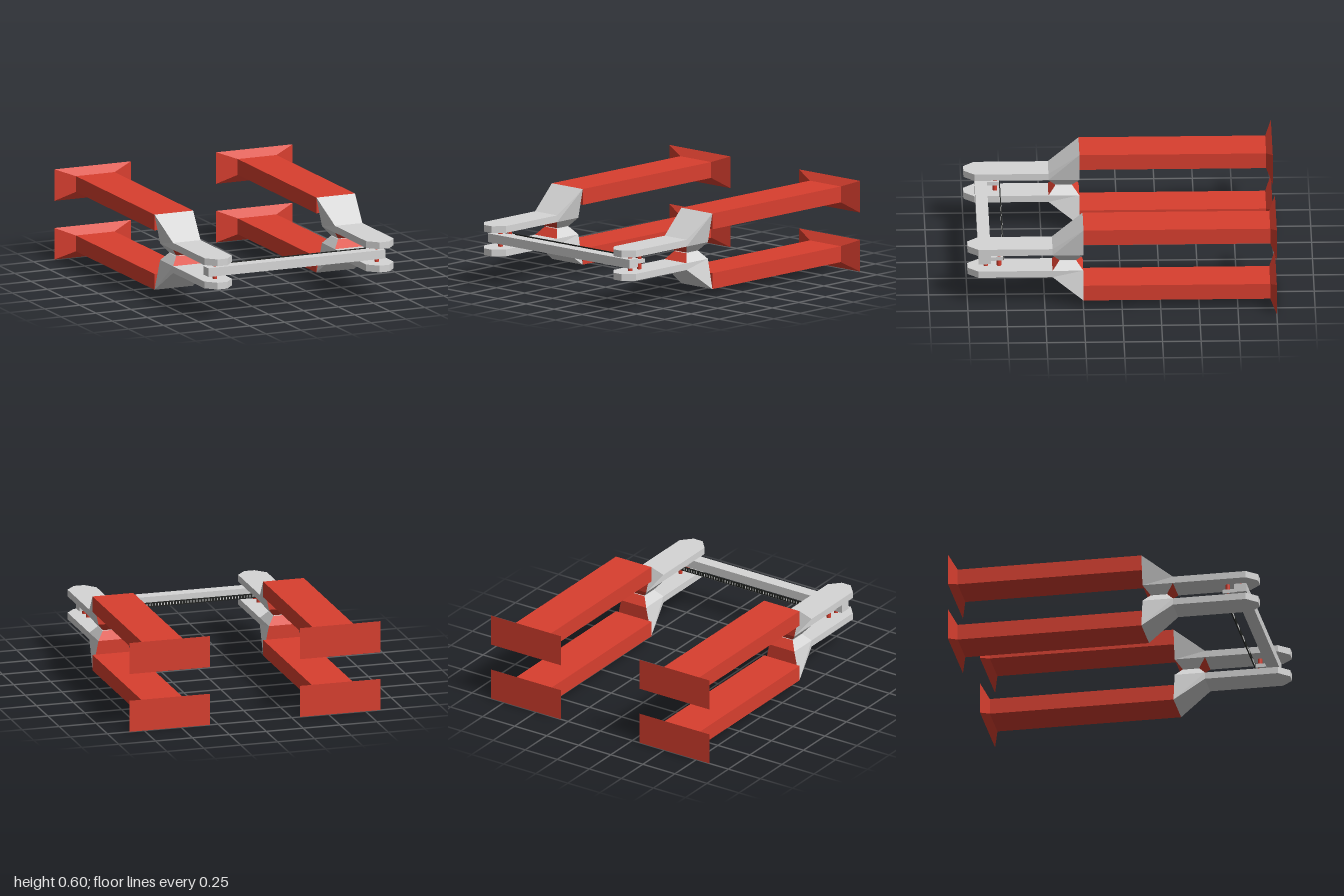
import * as THREE from 'three';

const red = new THREE.MeshStandardMaterial({ color: 0xd93f2f, name: 'red grip' });
const grey = new THREE.MeshStandardMaterial({ color: 0xd6d6d6, name: 'light metal' });
const dark = new THREE.MeshStandardMaterial({ color: 0x222422, name: 'dark strip' });

const MID_Y = 0.3;     // plane between upper and lower jaws
const CLAMP_X = 0.578; // clamp centre line

function add(parent, name, geometry, material, x = 0, y = 0, z = 0) {
  const mesh = new THREE.Mesh(geometry, material);
  mesh.name = name;
  mesh.position.set(x, y, z);
  parent.add(mesh);
  return mesh;
}

// Six-sided solid symmetric in x; each edge is [half width, y, z].
// Material groups: 0 = sides, top and bottom, 1 = front and back.
function block(bottomBack, bottomFront, topBack, topFront) {
  const pair = ([w, y, z]) => [[-w, y, z], [w, y, z]];
  const [lbb, rbb] = pair(bottomBack), [lbf, rbf] = pair(bottomFront);
  const [ltb, rtb] = pair(topBack), [ltf, rtf] = pair(topFront);
  const faces = [
    [ltf, rtf, rtb, ltb], [lbb, rbb, rbf, lbf],
    [rbf, rbb, rtb, rtf], [lbb, lbf, ltf, ltb],
    [lbf, rbf, rtf, ltf], [rbb, lbb, ltb, rtb],
  ];
  const points = [];
  for (const [a, b, c, d] of faces) points.push(...a, ...b, ...c, ...a, ...c, ...d);
  const geometry = new THREE.BufferGeometry();
  geometry.setAttribute('position', new THREE.Float32BufferAttribute(points, 3));
  geometry.computeVertexNormals();
  geometry.addGroup(0, 24, 0);
  geometry.addGroup(24, 12, 1);
  return geometry;
}

// One jaw with its handle, above y = 0 in its own frame
function createJaw() {
  const jaw = new THREE.Group();
  add(jaw, 'handle', block(
    [0.138, 0.145, -0.96], [0.138, 0.145, 0.25],
    [0.138, 0.25, -0.96], [0.138, 0.25, 0.25]), [red, red]);
  add(jaw, 'handleFlare', block(
    [0.273, 0.09, -1], [0.138, 0.145, -0.96],
    [0.273, 0.3, -1], [0.138, 0.25, -0.96]), [red, red]);
  // Sloped shoulder with a red rear face
  add(jaw, 'shoulder', block(
    [0.098, 0.055, 0.25], [0.098, 0.055, 0.45],
    [0.138, 0.25, 0.25], [0.098, 0.1, 0.45]), [grey, red]);
  // Rocker hump towards the opposite jaw
  add(jaw, 'pivotHump', block(
    [0.055, 0.002, 0.295], [0.055, 0.002, 0.405],
    [0.098, 0.055, 0.25], [0.098, 0.055, 0.45]), [grey, red]);
  // Flat jaw with clipped tip
  const outline = new THREE.Shape([
    [-0.098, 0.45], [0.098, 0.45], [0.098, 0.93],
    [0.035, 1], [-0.035, 1], [-0.098, 0.93],
  ].map(([x, z]) => new THREE.Vector2(x, z)));
  const plate = new THREE.ExtrudeGeometry(outline, { depth: 0.045, bevelEnabled: false });
  plate.rotateX(Math.PI / 2);
  add(jaw, 'jawPlate', plate, grey, 0, 0.1, 0);
  return jaw;
}

export function createModel() {
  const model = new THREE.Group();
  model.name = 'doubleClamp';

  for (const side of [-1, 1]) {
    const clamp = new THREE.Group();
    clamp.name = side > 0 ? 'leftClamp' : 'rightClamp';
    clamp.position.set(side * CLAMP_X, MID_Y, 0);
    const upper = createJaw();
    upper.name = 'upperJaw';
    const lower = createJaw();
    lower.name = 'lowerJaw';
    lower.rotation.z = Math.PI;
    clamp.add(upper, lower);

    // Pins joining the jaws
    for (const z of [0.88, 0.795]) {
      add(clamp, 'pin', new THREE.CylinderGeometry(0.015, 0.015, 0.11, 10), red, 0, 0, z);
    }
    // Arm holding the strip behind the crossbar
    add(clamp, 'stripArm', new THREE.BoxGeometry(0.05, 0.025, 0.09), grey, 0, 0, 0.81);
    model.add(clamp);
  }

  // Crossbar and the thin toothed strip behind it
  add(model, 'crossbar', new THREE.BoxGeometry(1.265, 0.058, 0.08), grey, -0.0125, MID_Y, 0.888);
  add(model, 'strip', new THREE.BoxGeometry(1.18, 0.03, 0.006), dark, 0, MID_Y, 0.766);
  for (let i = 0; i < 56; i++) {
    add(model, 'stripTooth', new THREE.BoxGeometry(0.006, 0.016, 0.008), grey, -0.55 + i * 0.02, MID_Y, 0.766);
  }
  return model;
}
